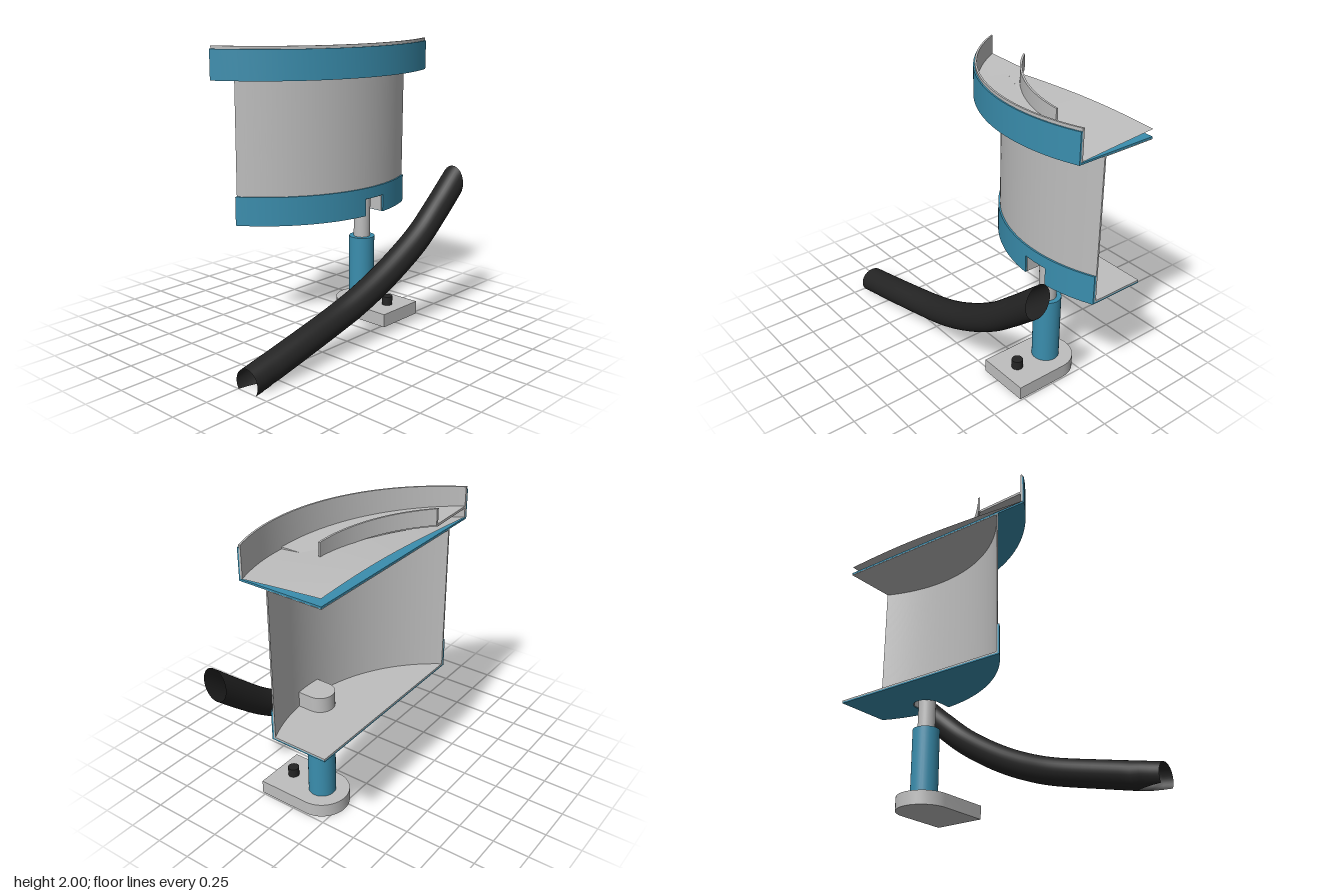
import * as THREE from 'three';
import { toCreasedNormals } from 'three/addons/utils/BufferGeometryUtils.js';
import { ParametricGeometry } from 'three/addons/geometries/ParametricGeometry.js';

// Drum axis, and the two planes where the drum section ends
const CX = 0.555, CZ = -1.048, BACK = -0.475, SIDE = 1;
const POST_Z = -0.1, SLOT = 0.095;
const leftEnd = r => -Math.acos((BACK - CZ) / r);
const rightEnd = r => Math.asin((SIDE - CX) / r);

// Points of an arc in plan (x, -z), t measured from the front
function arc(r, t0 = leftEnd(r), t1 = rightEnd(r), n = 48) {
  return Array.from({ length: n + 1 }, (_, i) => {
    const t = t0 + (t1 - t0) * i / n;
    return new THREE.Vector2(CX + r * Math.sin(t), -(CZ + r * Math.cos(t)));
  });
}

// Raise a plan outline from y0 to y1
function raise(points, y0, y1) {
  const g = new THREE.ExtrudeGeometry(new THREE.Shape(points), { depth: y1 - y0, bevelEnabled: false });
  g.rotateX(-Math.PI / 2).translate(0, y0, 0);
  return toCreasedNormals(g, 0.5);
}

// Curved wall between two radii; the limits are optional functions of the radius
function ring(r0, r1, y0, y1, from = leftEnd, to = rightEnd) {
  return raise([...arc(r1, from(r1), to(r1)), ...arc(r0, from(r0), to(r0)).reverse()], y0, y1);
}

// Half round in plan about the post, open towards the front
function slot(r, front, n = 20) {
  const pts = [new THREE.Vector2(CX - r, -front)];
  for (let i = 0; i <= n; i++) {
    const a = Math.PI - Math.PI * i / n;
    pts.push(new THREE.Vector2(CX + r * Math.cos(a), -POST_Z + r * Math.sin(a)));
  }
  pts.push(new THREE.Vector2(CX + r, -front));
  return pts;
}

// Tilt a part into a ramp that climbs around the drum to the left
function climb(g) {
  const p = g.attributes.position;
  for (let i = 0; i < p.count; i++) {
    const t = Math.atan2(p.getX(i) - CX, p.getZ(i) - CZ);
    p.setY(i, p.getY(i) + 0.06 * Math.abs(t));
  }
  return toCreasedNormals(g, 0.5);
}

export function createModel() {
  const model = new THREE.Group();
  const material = (name, color) => {
    const m = new THREE.MeshStandardMaterial({ color, side: THREE.DoubleSide });
    m.name = name;
    return m;
  };
  const steel = material('steel grey', 0xbebebe);
  const blue = material('painted blue', 0x3a8eae);
  const rubber = material('black rubber', 0x242424);
  const add = (name, g, m, parent = model) => {
    const mesh = new THREE.Mesh(g, m);
    mesh.name = name;
    parent.add(mesh);
    return mesh;
  };

  // Drum wall and bottom band, both notched around the post
  const notchLeft = r => -Math.asin(SLOT / r);
  const notchRight = r => Math.asin(SLOT / r);
  const notched = (name, r0, r1, y0, y1, m) => {
    const group = new THREE.Group();
    group.name = name;
    add(name + 'RightPart', ring(r0, r1, y0, y1, leftEnd, notchLeft), m, group);
    add(name + 'LeftPart', ring(r0, r1, y0, y1, notchRight, rightEnd), m, group);
    add(name + 'OverNotch', ring(r0, r1, 0.88, y1, notchLeft, notchRight), m, group);
    model.add(group);
  };
  notched('drumWall', 1.048, 1.058, 0.765, 1.775, steel);
  notched('bottomBand', 1.058, 1.07, 0.755, 0.96, blue);

  // Bottom plate with a slot for the post
  const plate = r => [
    ...arc(r, leftEnd(r), notchLeft(r)), ...slot(SLOT, POST_Z + 0.1).slice(1, -1),
    ...arc(r, notchRight(r), rightEnd(r)), new THREE.Vector2(SIDE, -BACK),
  ];
  add('bottomPlate', raise(plate(1.058), 0.755, 0.765), blue);
  add('drumFloor', raise(plate(1.048), 0.765, 0.775), steel);

  // Housing over the top of the post
  add('postHousingWall', raise([...slot(SLOT, 0.005), ...slot(SLOT - 0.006, 0.005).reverse()], 0.76, 0.88), steel);
  add('postHousingLid', raise(slot(SLOT, 0.008), 0.874, 0.88), steel);

  // Top plate, rim and liner
  add('topPlate', raise([...arc(1.235), new THREE.Vector2(SIDE, -BACK)], 1.775, 1.788), blue);
  add('drumCeiling', raise([...arc(1.048), new THREE.Vector2(SIDE, -BACK)], 1.77, 1.7745), steel);
  add('topRim', ring(1.23, 1.24, 1.775, 1.98), blue);
  add('rimLiner', ring(1.217, 1.23, 1.79, 2), steel);

  // Shallow conical top
  const R = 1.22, x0 = CX - Math.sqrt(R * R - (BACK - CZ) ** 2);
  const cone = new ParametricGeometry((u, v, p) => {
    const x = x0 + (SIDE - x0) * u;
    const front = CZ + Math.sqrt(Math.max(R * R - (x - CX) ** 2, 0));
    const z = BACK + (front - BACK) * v;
    p.set(x, 1.792 + 0.09 * (R - Math.hypot(x - CX, z - CZ)), z);
  }, 40, 24);
  cone.computeVertexNormals();
  add('conicalTop', cone, steel);

  // Channel ramp and its inner guide
  const front = () => 0;
  add('channelRamp', climb(ring(0.935, 1.217, 1.788, 1.805, leftEnd, front)), steel);
  add('channelGuide', climb(ring(0.923, 0.937, 1.8, 1.91, leftEnd, front)), steel);

  // Post
  const cylinder = (name, r, y0, y1, z, m) => {
    add(name, new THREE.CylinderGeometry(r, r, y1 - y0, 32), m).position.set(CX, (y0 + y1) / 2, z);
  };
  cylinder('postSleeve', 0.093, 0.09, 0.57, POST_Z, blue);
  cylinder('postRod', 0.06, 0.56, 0.874, POST_Z, steel);

  // Foot with its bolt
  add('foot', raise(slot(0.186, 0.275), 0, 0.095), steel);
  cylinder('footBolt', 0.038, 0.09, 0.158, 0.15, rubber);

  // Open hose, cut off square to x at its ends and trimmed at the ground
  const path = new THREE.CatmullRomCurve3([
    [-1, 0.055, 0.33], [-0.6, 0.145, 0.327], [-0.2, 0.24, 0.322], [0, 0.31, 0.335], [0.2, 0.4, 0.35],
    [0.4, 0.51, 0.366], [0.6, 0.64, 0.38], [0.8, 0.8, 0.382], [1, 0.972, 0.382],
  ].map(p => new THREE.Vector3(...p)));
  const hose = new ParametricGeometry((u, v, p) => {
    const c = path.getPoint(v), d = path.getTangent(v);
    const ry = 0.093 * Math.hypot(d.x, d.y) / d.x;
    const cut = c.y < ry ? Math.acos(c.y / ry) : 0;
    const a = cut + (2 * Math.PI - 2 * cut) * u;
    p.set(c.x, c.y - ry * Math.cos(a), c.z + 0.093 * Math.sin(a));
  }, 32, 48);
  hose.computeVertexNormals();
  add('hose', hose, rubber);

  return model;
}
